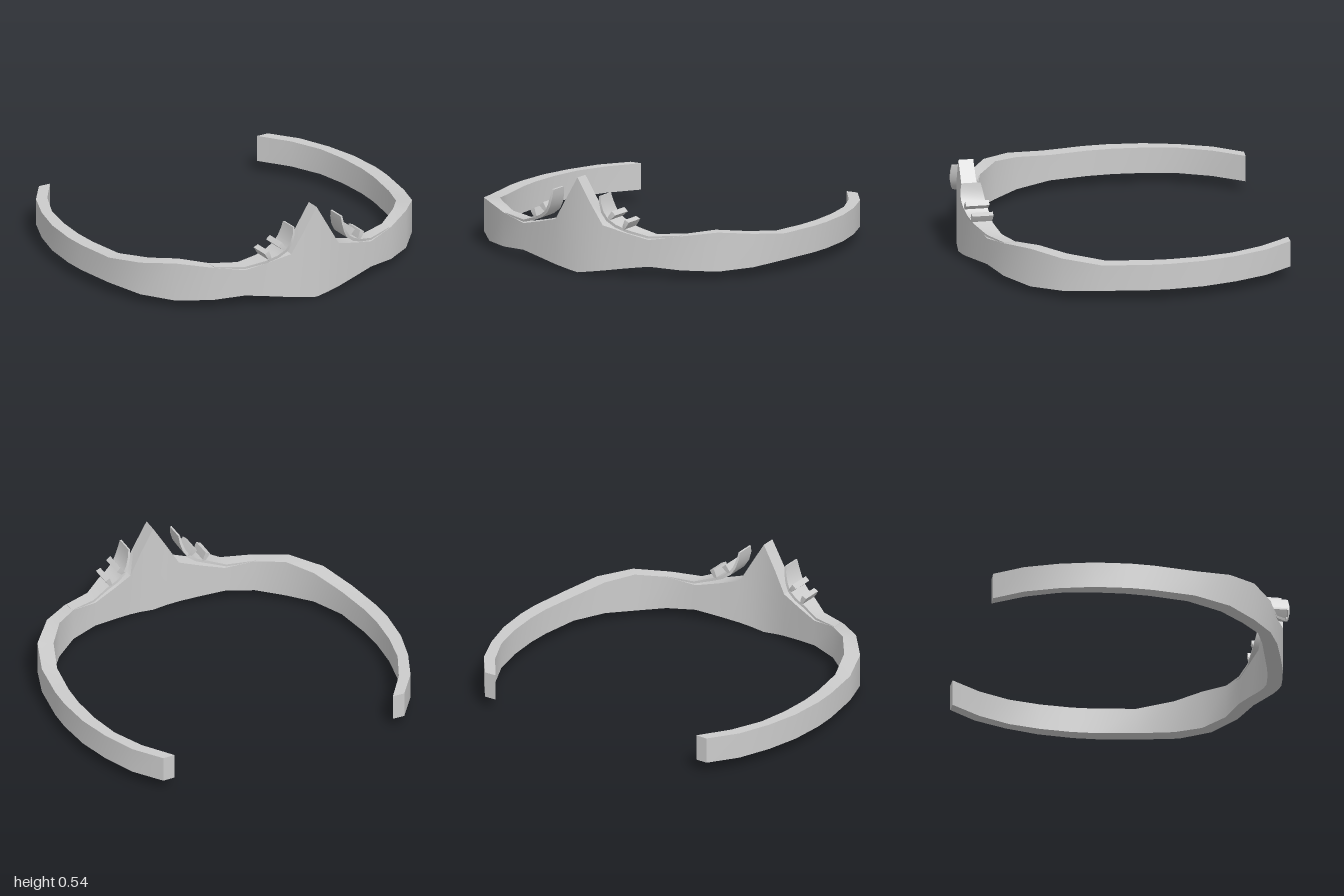
import * as THREE from 'three';
import { toCreasedNormals } from 'three/addons/utils/BufferGeometryUtils.js';

const material = new THREE.MeshStandardMaterial({ color: 0xcccccc, side: THREE.DoubleSide });

// Closed sweep through four-cornered sections: outer bottom, outer top, inner top, inner bottom
function sweep(name, sections, crease) {
  const index = [];
  const last = (sections.length - 1) * 4;
  for (let i = 0; i < last; i += 4) {
    for (let j = 0; j < 4; j++) {
      const a = i + j, b = i + (j + 1) % 4;
      index.push(a, a + 4, b + 4, a, b + 4, b);
    }
  }
  index.push(0, 1, 2, 0, 2, 3, last, last + 2, last + 1, last, last + 3, last + 2);
  const geometry = new THREE.BufferGeometry();
  geometry.setAttribute('position', new THREE.Float32BufferAttribute(sections.flat(2), 3));
  geometry.setIndex(index);
  const mesh = new THREE.Mesh(toCreasedNormals(geometry, crease), material);
  mesh.name = name;
  return mesh;
}

// Thin plate along points [x, y, inner z, outer z, thickness]
function plate(name, points, side) {
  const path = side > 0 ? points : points.map(([x, ...rest]) => [-x, ...rest]).reverse();
  const sections = path.map(([x, y, zIn, zOut, t], i) => {
    const p = path[Math.max(i - 1, 0)], q = path[Math.min(i + 1, path.length - 1)];
    const length = Math.hypot(q[0] - p[0], q[1] - p[1]);
    const nx = -(q[1] - p[1]) / length * t / 2, ny = (q[0] - p[0]) / length * t / 2;
    return [[x - nx, y - ny, zOut], [x + nx, y + ny, zOut], [x + nx, y + ny, zIn], [x - nx, y - ny, zIn]];
  });
  return sweep(name, sections, 0.8);
}

export function createModel() {
  const group = new THREE.Group();
  group.name = 'circlet';

  // Half band from the front peak to the open back: outer x, z, inner x, z, bottom y, top y
  const half = [
    [0, 0.862, 0, 0.778, 0.005, 0.545],
    [0.08, 0.857, 0.08, 0.771, 0.018, 0.41],
    [0.155, 0.845, 0.15, 0.758, 0.03, 0.288],
    [0.28, 0.812, 0.27, 0.725, 0.05, 0.253],
    [0.41, 0.772, 0.4, 0.69, 0.068, 0.22],
    [0.58, 0.708, 0.56, 0.64, 0.055, 0.248],
    [0.75, 0.588, 0.7, 0.53, 0.045, 0.268],
    [0.885, 0.43, 0.805, 0.39, 0.057, 0.247],
    [0.96, 0.22, 0.88, 0.19, 0.07, 0.22],
    [0.995, -0.02, 0.915, -0.03, 0.07, 0.22],
    [1, -0.15, 0.922, -0.17, 0.07, 0.22],
    [0.983, -0.35, 0.91, -0.35, 0.07, 0.22],
    [0.935, -0.54, 0.875, -0.53, 0.07, 0.22],
    [0.86, -0.725, 0.795, -0.71, 0.07, 0.22],
    [0.745, -0.882, 0.675, -0.88, 0.07, 0.22],
  ];
  const mirrored = half.slice(1).reverse().map(([ox, oz, ix, ...rest]) => [-ox, oz, -ix, ...rest]);
  const sections = [...mirrored, ...half].map(([ox, oz, ix, iz, bottom, top]) =>
    [[ox, bottom, oz], [ox, top, oz], [ix, top, iz], [ix, bottom, iz]]);
  group.add(sweep('band', sections, 0.75));

  // Curled branch with two small leaves on each side of the peak
  const branch = [
    [0.155, 0.46, 0.765, 0.873, 0.01],
    [0.16, 0.42, 0.755, 0.88, 0.013],
    [0.175, 0.37, 0.745, 0.88, 0.016],
    [0.2, 0.328, 0.735, 0.87, 0.017],
    [0.245, 0.295, 0.728, 0.855, 0.017],
    [0.31, 0.267, 0.722, 0.83, 0.016],
    [0.41, 0.234, 0.69, 0.772, 0.013],
    [0.57, 0.246, 0.64, 0.708, 0.008],
  ];
  const lowerLeaf = [
    [0.285, 0.275, 0.725, 0.838, 0.015],
    [0.297, 0.3, 0.722, 0.843, 0.024],
    [0.31, 0.328, 0.72, 0.84, 0.03],
  ];
  const upperLeaf = [
    [0.198, 0.325, 0.737, 0.865, 0.015],
    [0.215, 0.343, 0.732, 0.866, 0.024],
    [0.237, 0.368, 0.73, 0.862, 0.032],
  ];
  for (const [side, label] of [[1, 'left'], [-1, 'right']]) {
    group.add(
      plate(label + 'Branch', branch, side),
      plate(label + 'LowerLeaf', lowerLeaf, side),
      plate(label + 'UpperLeaf', upperLeaf, side),
    );
  }
  return group;
}
